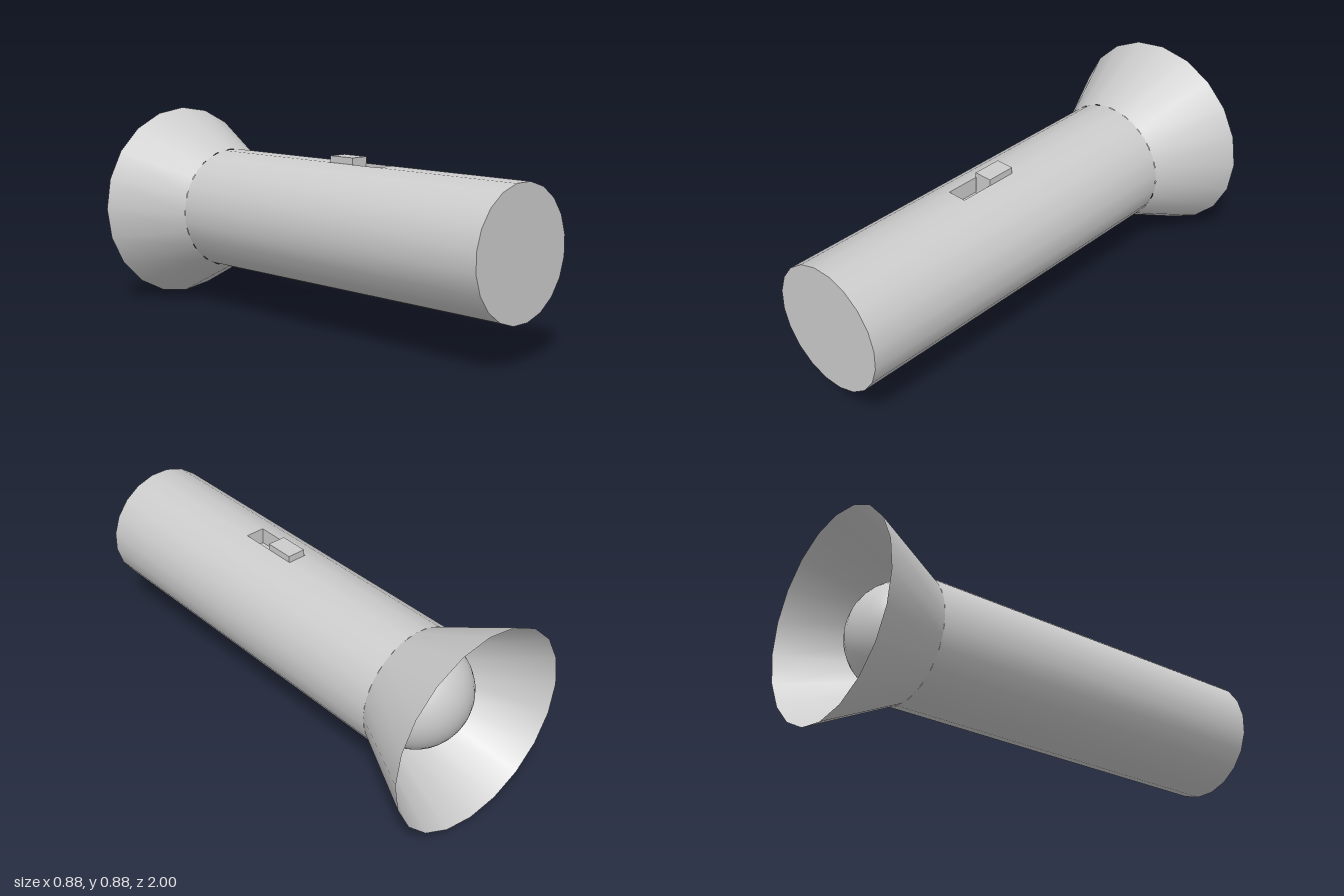
import * as THREE from 'three';

const SIDES = 20, STEP = (Math.PI * 2) / SIDES;
const R = 0.268, MOUTH_R = 0.44, AXIS_Y = 0.44;
const BACK = -1, NECK = -0.65, FRONT = 1;
const SLOT = { z0: 0.035, z1: 0.31, depth: 0.07 };

export function createModel() {
  const model = new THREE.Group();
  const grey = new THREE.MeshStandardMaterial({ color: 0xcccccc });
  const greyDouble = new THREE.MeshStandardMaterial({ color: 0xcccccc, side: THREE.DoubleSide });

  const add = (name, geometry, material = grey) => {
    const mesh = new THREE.Mesh(geometry, material);
    mesh.name = name;
    model.add(mesh);
    return mesh;
  };

  // Open wall around the z axis; theta = PI points straight up
  const wall = (rFront, rBack, z0, z1, start, facets) =>
    new THREE.CylinderGeometry(rFront, rBack, z1 - z0, facets, 1, true, start, facets * STEP)
      .rotateX(Math.PI / 2)
      .translate(0, AXIS_Y, (z0 + z1) / 2);

  // Barrel: all facets but the top one, which is split around the switch slot
  add('barrel', wall(R, R, NECK, FRONT, Math.PI + STEP / 2, SIDES - 1));
  add('barrelTopBack', wall(R, R, NECK, SLOT.z0, Math.PI - STEP / 2, 1));
  add('barrelTopFront', wall(R, R, SLOT.z1, FRONT, Math.PI - STEP / 2, 1));

  // Flat ends of the barrel
  const disc = () => new THREE.CircleGeometry(R, SIDES, STEP / 2);
  add('endCap', disc().translate(0, AXIS_Y, FRONT));
  add('neckCap', disc().rotateY(Math.PI).translate(0, AXIS_Y, NECK));

  // Switch slot: a box without its top, turned inside out
  const slotWidth = 2 * R * Math.sin(STEP / 2);
  const top = AXIS_Y + R * Math.cos(STEP / 2);
  const slot = new THREE.BoxGeometry(slotWidth, SLOT.depth, SLOT.z1 - SLOT.z0);
  const inner = Array.from(slot.index.array).filter((_, i) => i < 12 || i >= 18).reverse();
  slot.setIndex(inner);
  slot.clearGroups();
  slot.computeVertexNormals();
  slot.translate(0, top - SLOT.depth / 2, (SLOT.z0 + SLOT.z1) / 2);
  add('switchSlot', slot);

  // Sliding switch at the back of the slot
  const switchTop = 0.732, switchBottom = top - SLOT.depth;
  add('switch', new THREE.BoxGeometry(0.08, switchTop - switchBottom, 0.128))
    .position.set(0.003, (switchTop + switchBottom) / 2, 0.102);

  // Flared reflector, open at the back, with a corner at the top
  add('reflector', wall(R, MOUTH_R, BACK, NECK, 0, SIDES), greyDouble);

  // Bulb
  add('bulb', new THREE.SphereGeometry(0.235, 32, 24)).position.set(0, AXIS_Y, -0.66);

  return model;
}
